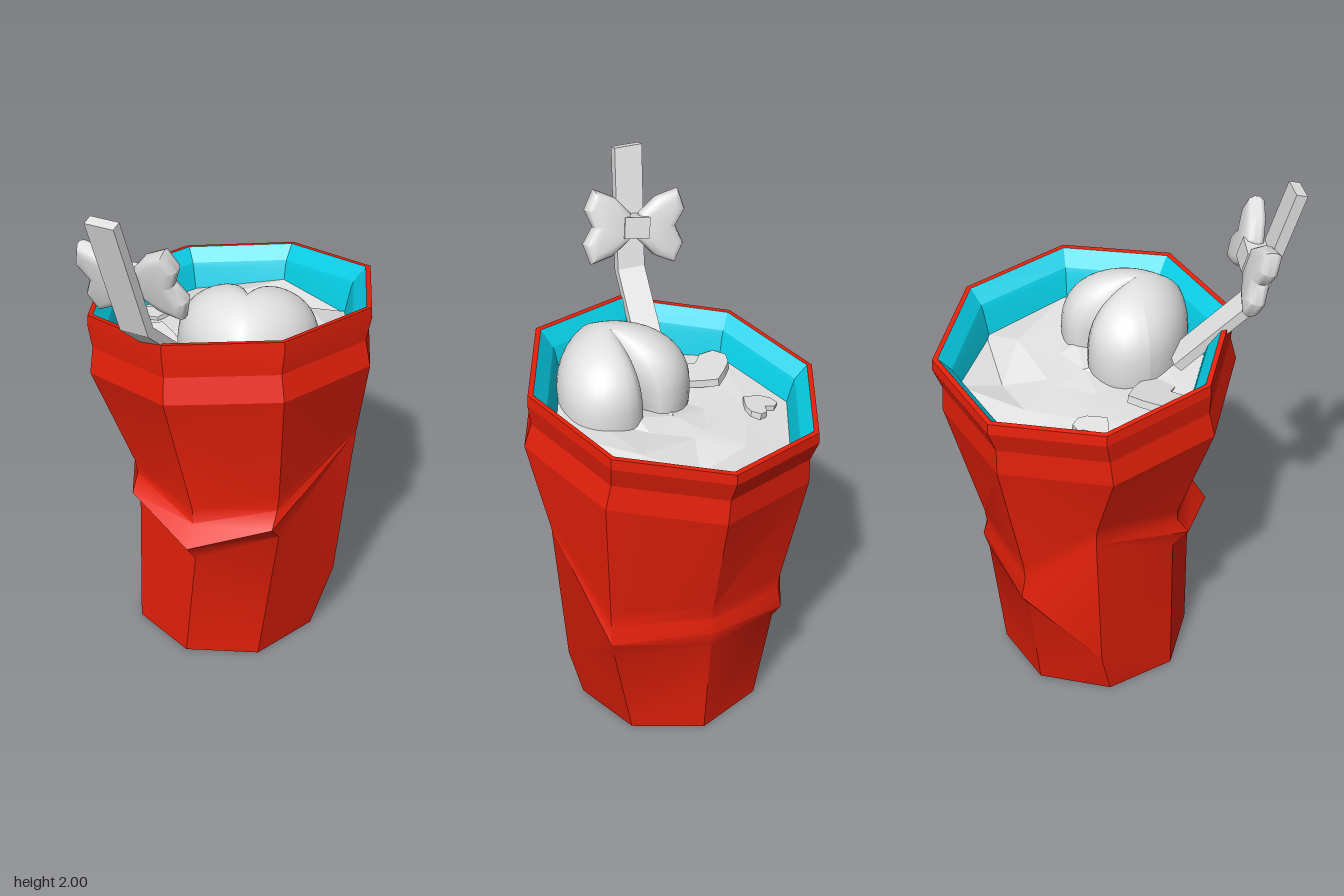
import * as THREE from 'three';
import { toCreasedNormals } from 'three/addons/utils/BufferGeometryUtils.js';

const mat = (name, color, side = THREE.FrontSide) => {
  const m = new THREE.MeshStandardMaterial({ color, side });
  m.name = name;
  return m;
};

// tilted plane of the cup's mouth
const rimY = (x, z) => 1.417 + 0.12 * x + 0.1 * (z + 0.1);

// octagonal ring; drop = distance below the mouth plane, or null for flat on the ground
const octagon = (r, cx, cz, drop) => Array.from({ length: 8 }, (_, k) => {
  const x = cx + r * Math.sin(k * Math.PI / 4), z = cz + r * Math.cos(k * Math.PI / 4);
  return [x, drop === null ? 0 : rimY(x, z) - drop, z];
});

// ring part way between two others
const between = (a, b, t) => a.map((p, k) => p.map((v, i) => v + (b[k][i] - v) * t));

// skin between closed rings, splitting each quad along its shorter diagonal
function loft(rings, crease, caps = false) {
  const pos = [];
  const tri = (...p) => p.forEach(v => pos.push(...v));
  const dist = (a, b) => Math.hypot(a[0] - b[0], a[1] - b[1], a[2] - b[2]);
  const n = rings[0].length;
  for (let j = 0; j < rings.length - 1; j++) for (let k = 0; k < n; k++) {
    const a = rings[j][k], b = rings[j][(k + 1) % n];
    const c = rings[j + 1][(k + 1) % n], d = rings[j + 1][k];
    if (dist(a, c) <= dist(b, d)) { tri(a, b, c); tri(a, c, d); }
    else { tri(a, b, d); tri(b, c, d); }
  }
  if (caps) {
    const s = rings[0], e = rings[rings.length - 1];
    for (let k = 1; k < n - 1; k++) { tri(s[0], s[k + 1], s[k]); tri(e[0], e[k], e[k + 1]); }
  }
  const g = new THREE.BufferGeometry();
  g.setAttribute('position', new THREE.Float32BufferAttribute(pos, 3));
  return toCreasedNormals(g, crease);
}

function heartShape(r) {
  const s = new THREE.Shape();
  s.moveTo(0, 0.45 * r);
  s.bezierCurveTo(0.25 * r, 1.05 * r, 1.1 * r, 0.9 * r, r, 0.2 * r);
  s.bezierCurveTo(0.95 * r, -0.3 * r, 0.4 * r, -0.6 * r, 0, -0.9 * r);
  s.bezierCurveTo(-0.4 * r, -0.6 * r, -0.95 * r, -0.3 * r, -r, 0.2 * r);
  s.bezierCurveTo(-1.1 * r, 0.9 * r, -0.25 * r, 1.05 * r, 0, 0.45 * r);
  return s;
}

export function createModel() {
  const group = new THREE.Group();
  const red = mat('cup red', 0xe6200a);
  const teal = mat('lining teal', 0x06d0e8, THREE.DoubleSide);
  const pale = mat('pale grey', 0xe2e2e2, THREE.DoubleSide);
  const add = (name, geo, m, parent = group) => {
    const mesh = new THREE.Mesh(geo, m);
    mesh.name = name;
    parent.add(mesh);
    return mesh;
  };

  // crumpled waist: [x, z, y] of lower crease, fold and pinch for each of the eight edges
  const folds = [
    [[0.05, 0.32, 0.48], [0.05, 0.39, 0.57], [0.04, 0.305, 0.66]],
    [[0.34, 0.20, 0.60], [0.34, 0.265, 0.67], [0.34, 0.21, 0.75]],
    [[0.44, -0.11, 0.27], [0.495, -0.14, 0.92], [0.505, -0.13, 0.97]],
    [[0.345, -0.365, 0.44], [0.37, -0.41, 0.53], [0.36, -0.385, 0.62]],
    [[0, -0.48, 0.47], [0, -0.50, 0.54], [0, -0.48, 0.61]],
    [[-0.31, -0.36, 0.42], [-0.33, -0.39, 0.48], [-0.32, -0.37, 0.58]],
    [[-0.42, -0.10, 0.20], [-0.43, -0.12, 0.78], [-0.435, -0.12, 0.84]],
    [[-0.25, 0.20, 0.59], [-0.25, 0.26, 0.65], [-0.25, 0.205, 0.73]],
  ];
  const [lower, fold, pinch] = [0, 1, 2].map(j => folds.map(f => [f[j][0], f[j][2], f[j][1]]));

  // cup body with a softened pinch, then the band and rim above it
  const bandFoot = octagon(0.55, 0.01, -0.075, 0.23);
  add('cupBody', loft([
    octagon(0.37, 0, -0.06, null), lower, fold, between(fold, pinch, 0.8),
    between(pinch, bandFoot, 0.08), bandFoot,
  ], 0.6), red);
  add('cupRim', loft([
    bandFoot, octagon(0.534, 0, -0.085, 0.13), octagon(0.553, -0.005, -0.1, 0.04),
    octagon(0.55, -0.005, -0.1, 0), octagon(0.53, -0.005, -0.1, 0),
  ], 0.2), red);

  // lining with a sloping lip, and the base
  add('cupLining', loft([
    octagon(0.53, -0.005, -0.1, 0), octagon(0.483, -0.005, -0.1, 0.055),
    octagon(0.475, -0.005, -0.1, 0.075), octagon(0.43, 0, -0.1, 0.26),
  ], 0.2), teal);
  const base = new THREE.CircleGeometry(0.362, 8);
  base.rotateX(Math.PI / 2);
  base.translate(0, 0.001, -0.06);
  add('cupBase', base, teal);
  const baseEdge = new THREE.RingGeometry(0.36, 0.37, 8);
  baseEdge.rotateX(Math.PI / 2);
  baseEdge.translate(0, 0, -0.06);
  add('cupBaseEdge', baseEdge, red);

  // uneven ice surface reaching the lining
  let seed = 11;
  const rnd = () => (seed = (seed * 16807) % 2147483647) / 2147483647 - 0.5;
  const ice = [0.465, 0.3, 0.14, 0.001].map((r, i) => Array.from({ length: 8 }, (_, k) => {
    const a = (k + (i ? 0.6 * rnd() : 0)) / 8 * Math.PI * 2;
    const x = r * Math.sin(a), z = -0.1 + r * Math.cos(a);
    return [x, rimY(x, z) - 0.155 + (i === 3 ? 0 : 0.06 * rnd()), z];
  }));
  add('iceSurface', loft(ice, 0.12), pale);

  // flat hearts floating in the ice
  for (const [x, z, r, turn] of [[-0.33, -0.11, 0.07, 0.6], [-0.22, 0.13, 0.12, 3.3]]) {
    const g = new THREE.ExtrudeGeometry(heartShape(r), { depth: 0.03, bevelEnabled: false, curveSegments: 3 });
    g.rotateX(-Math.PI / 2);
    const heart = add('floatingHeart', g, pale);
    heart.position.set(x, rimY(x, z) - 0.165, z);
    heart.rotation.set(-0.1, turn, 0.12, 'YXZ');
  }

  // large plump heart: a full round body with a cleft on one side
  const plump = new THREE.SphereGeometry(1, 40, 28);
  const p = plump.attributes.position;
  for (let i = 0; i < p.count; i++) {
    const u = p.getX(i), y = p.getY(i), v = -p.getZ(i);
    const cleft = Math.exp(-Math.abs(u) / 0.11) * Math.max(0, v + 0.15);
    const full = Math.sign(y) * Math.pow(Math.abs(y), 0.78);
    p.setXYZ(i, 0.257 * u, 0.247 * full * (1 - 0.14 * cleft),
      -0.25 * (0.9 * v + 0.3 * Math.abs(u) - 0.05 - 0.25 * cleft));
  }
  plump.computeVertexNormals();
  const plumpHeart = add('plumpHeart', plump, pale);
  plumpHeart.position.set(0.15, 1.3, 0.1);
  plumpHeart.rotation.y = 0.34;

  // bent flat straw
  const section = (x, y, z, dy, dz) => [[-1, 1], [1, 1], [1, -1], [-1, -1]]
    .map(([a, b]) => [x + a * 0.054, y - b * dy, z + b * dz]);
  add('straw', loft([
    section(-0.05, 1.3, 0.23, 0.014, 0.014),
    section(-0.068, 1.55, 0.505, 0.01, 0.018),
    section(-0.11, 1.995, 0.633, 0.005, 0.02),
  ], 0.3, true), pale);

  // bow tied behind the straw
  const bow = new THREE.Group();
  bow.name = 'bow';
  const outline = [[0.03, -0.045], [0.09, -0.1], [0.16, -0.125], [0.185, -0.065], [0.15, 0],
    [0.185, 0.065], [0.16, 0.125], [0.09, 0.1], [0.03, 0.045]];
  for (const s of [1, -1]) {
    const shape = new THREE.Shape(outline.map(([x, y]) => new THREE.Vector2(s * x, y)));
    const g = new THREE.ExtrudeGeometry(shape, {
      depth: 0.02, bevelThickness: 0.026, bevelSize: 0.03, bevelOffset: -0.018, bevelSegments: 2,
    });
    g.translate(0, 0, -0.01);
    add(s > 0 ? 'bowLoopLeft' : 'bowLoopRight', toCreasedNormals(g, 0.9), pale, bow);
  }
  add('bowKnot', new THREE.BoxGeometry(0.1, 0.08, 0.085), pale, bow);
  bow.position.set(-0.083, 1.73, 0.495);
  bow.rotation.set(0.25, 0, 0.15);
  group.add(bow);

  return group;
}
